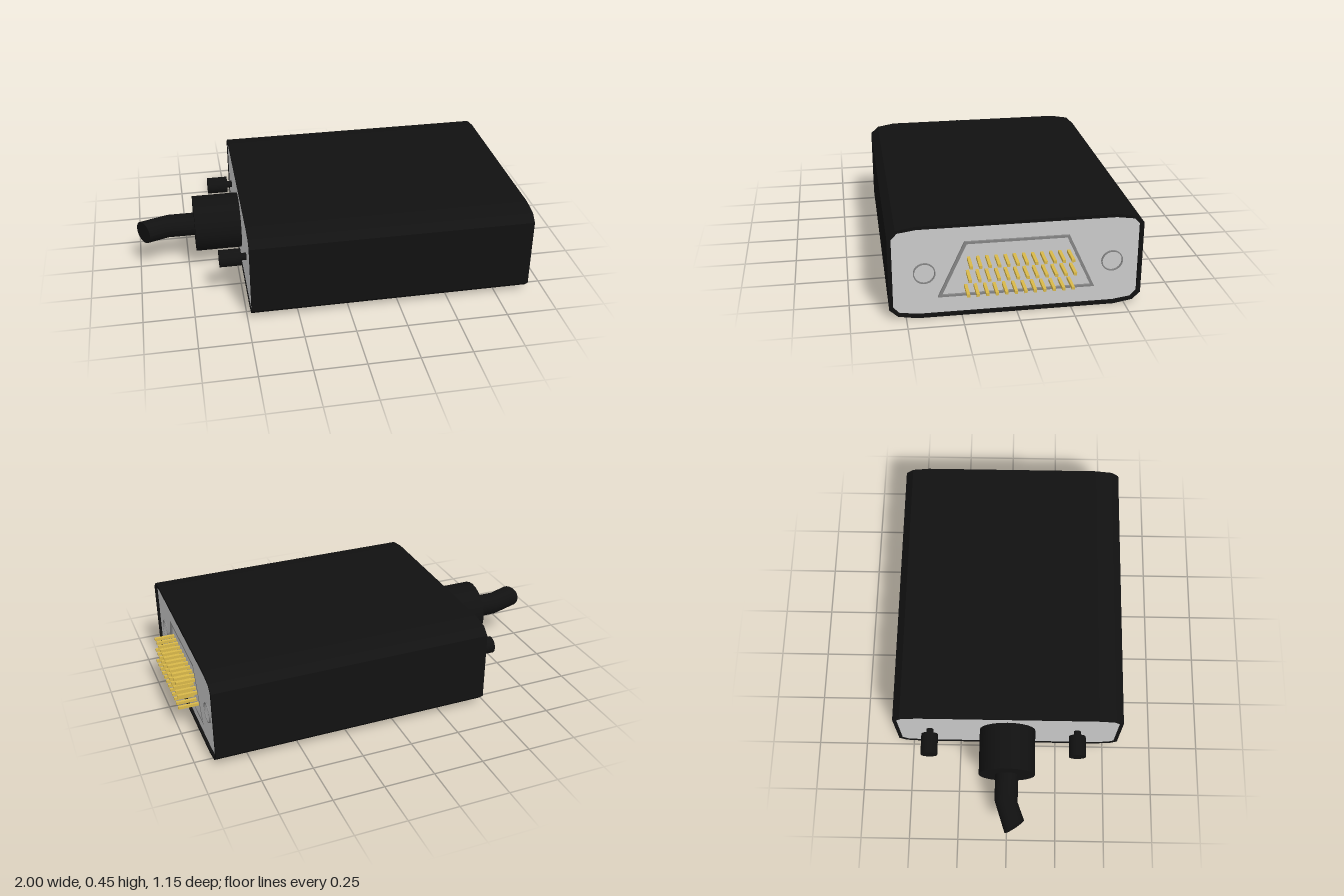
import * as THREE from 'three';

const black = new THREE.MeshStandardMaterial({ color: 0x111111, flatShading: true });
const rubber = new THREE.MeshStandardMaterial({ color: 0x111111 });
const grey = new THREE.MeshStandardMaterial({ color: 0xcccccc });
const darkGrey = new THREE.MeshStandardMaterial({ color: 0x858585 });
const gold = new THREE.MeshStandardMaterial({ color: 0xd8b84a });

const MID = 0.225; // height of the connector's axis

// Chamfered outline, mirrored from one quadrant of corner points
function outline(quadrant) {
  const rev = [...quadrant].reverse();
  return [
    ...quadrant,
    ...rev.map(([a, b]) => [-a, b]),
    ...quadrant.map(([a, b]) => [-a, -b]),
    ...rev.map(([a, b]) => [a, -b]),
  ].map(([a, b]) => new THREE.Vector2(a, b + MID));
}

// Extrudes a (-z, y) shape along +x from x0 to x1
function extrudeX(shape, x0, x1) {
  const g = new THREE.ExtrudeGeometry(shape, { depth: x1 - x0, bevelEnabled: false });
  return g.rotateY(Math.PI / 2).translate(x0, 0, 0);
}

function cylinderX(radius, x0, x1, y, z, sides) {
  const g = new THREE.CylinderGeometry(radius, radius, x1 - x0, sides);
  return g.rotateZ(Math.PI / 2).translate((x0 + x1) / 2, y, z);
}

export function createModel() {
  const model = new THREE.Group();
  const add = (name, geometry, material, parent = model) => {
    const mesh = new THREE.Mesh(geometry, material);
    mesh.name = name;
    parent.add(mesh);
    return mesh;
  };

  // Hollow outer housing with a thin rim at both ends
  const outer = outline([[0.575, 0.175], [0.537, 0.21], [0.45, 0.225]]);
  const inner = outline([[0.557, 0.168], [0.53, 0.197], [0.447, 0.209]]);
  const shell = new THREE.Shape(outer);
  shell.holes.push(new THREE.Path(inner));
  add('housing', extrudeX(shell, -0.48, 0.912), black);

  // Face plates closing the housing
  add('frontPlate', extrudeX(new THREE.Shape(inner), 0.86, 0.9), grey);
  add('rearPlate', extrudeX(new THREE.Shape(inner), -0.476, -0.44), grey);

  // Trapezoid frame around the contacts
  const trapezoid = (bottom, top, y0, y1) => [[-bottom, y0], [bottom, y0], [top, y1], [-top, y1]]
    .map(([a, b]) => new THREE.Vector2(a, b));
  const frame = new THREE.Shape(trapezoid(0.357, 0.236, 0.096, 0.36));
  frame.holes.push(new THREE.Path(trapezoid(0.338, 0.226, 0.106, 0.349)));
  add('contactFrame', extrudeX(frame, 0.895, 0.91), darkGrey);

  // Screw sockets either side of the frame
  for (const z of [0.415, -0.437]) {
    const ring = new THREE.Shape().absarc(-z, 0.217, 0.05, 0, Math.PI * 2);
    ring.holes.push(new THREE.Path().absarc(-z, 0.217, 0.045, 0, Math.PI * 2));
    add('screwSocket', extrudeX(ring, 0.895, 0.908), darkGrey);
  }

  // Three rows of square contact pins: [height, first z, last z]
  const pins = new THREE.Group();
  pins.name = 'contactPins';
  model.add(pins);
  const pinGeometry = new THREE.BoxGeometry(0.12, 0.014, 0.014);
  for (const [y, z0, z1] of [[0.278, 0.218, -0.234], [0.212, 0.223, -0.245], [0.142, 0.231, -0.237]]) {
    for (let i = 0; i < 12; i++) {
      add('pin', pinGeometry, gold, pins).position.set(0.94, y, z0 + (z1 - z0) * i / 11);
    }
  }

  // Strain relief collar
  add('cableCollar', cylinderX(0.142, -0.708, -0.47, 0.23, -0.002, 24), rubber);

  // Cable stub: three slanted rings, [x, z, x slant, z scale]
  const rings = [[-0.968, 0.04, 0.55, 0.83], [-0.843, -0.003, -0.08, 1], [-0.69, -0.003, 0, 1]];
  const cable = new THREE.CylinderGeometry(0.058, 0.058, 2, 24, 2);
  cable.rotateZ(-Math.PI / 2); // axis along x, from -1 to 1
  const p = cable.attributes.position;
  for (let i = 0; i < p.count; i++) {
    const [x, z, slant, scale] = rings[Math.round(p.getX(i)) + 1];
    const offset = p.getZ(i);
    p.setXYZ(i, x + offset * slant, p.getY(i) + 0.228, z + offset * scale);
  }
  cable.computeVertexNormals();
  add('cable', cable, rubber);

  // Thumbscrews on the rear
  for (const z of [-0.4, 0.355]) {
    const screw = new THREE.Group();
    screw.name = 'thumbscrew';
    model.add(screw);
    add('screwHead', cylinderX(0.043, -0.61, -0.503, 0.228, z, 16), rubber, screw);
    add('screwShaft', cylinderX(0.018, -0.505, -0.46, 0.228, z, 12), rubber, screw);
  }

  return model;
}
